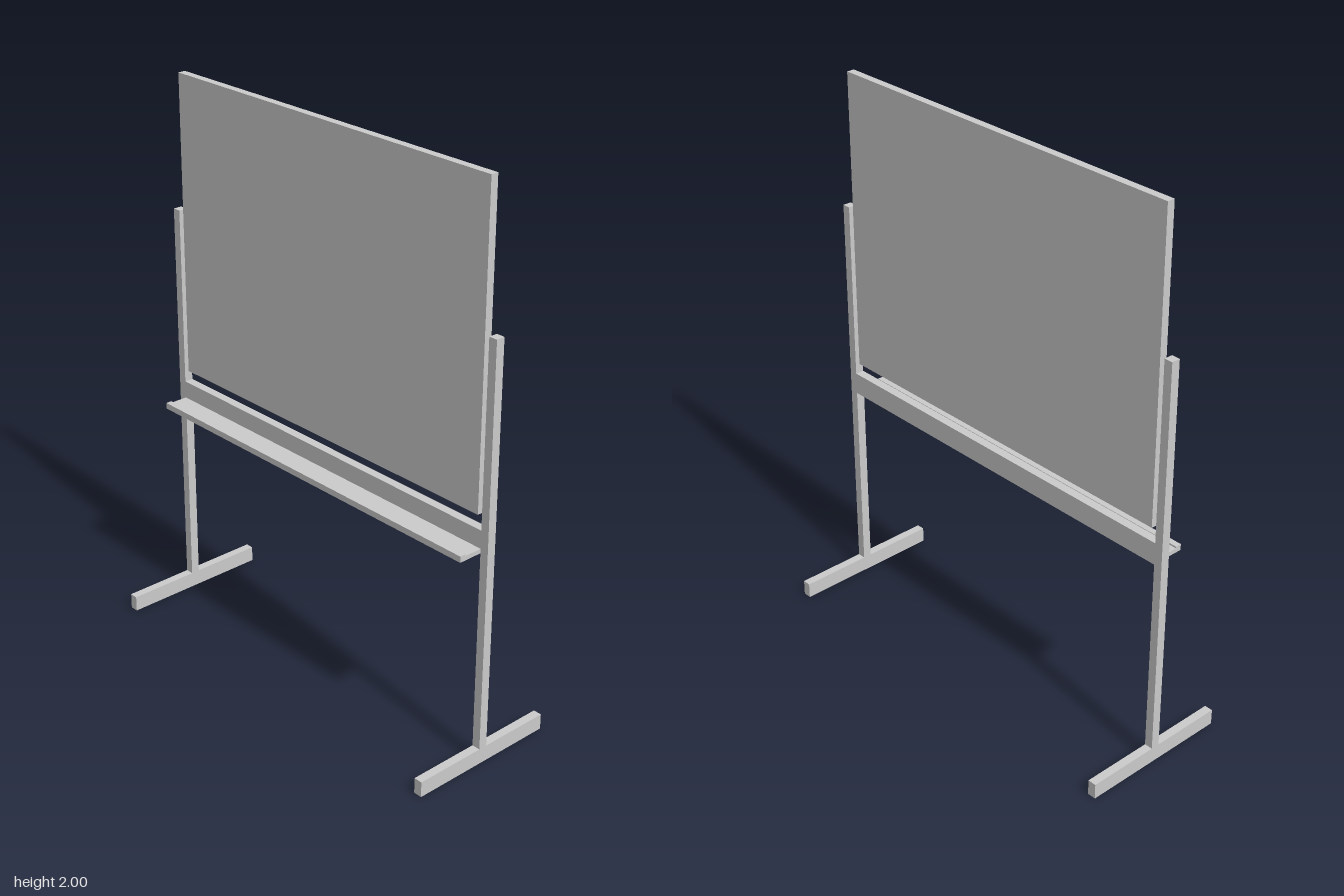
import * as THREE from 'three';

const material = new THREE.MeshStandardMaterial({ color: 0xcccccc, flatShading: true });

// Box given by its extents along each axis
function box(name, [x0, x1], [y0, y1], [z0, z1]) {
  const mesh = new THREE.Mesh(new THREE.BoxGeometry(x1 - x0, y1 - y0, z1 - z0), material);
  mesh.position.set((x0 + x1) / 2, (y0 + y1) / 2, (z0 + z1) / 2);
  mesh.name = name;
  return mesh;
}

// Shallow tray: a floor with a slightly raised lip, extruded along x
function tray(halfLength) {
  const back = 0.016, lip = 0.083, front = 0.105;
  const bottom = 0.778, floor = 0.794, top = 0.8;
  const profile = new THREE.Shape([
    [-back, bottom], [-back, floor], [-lip, floor],
    [-lip, top], [-front, top], [-front, bottom],
  ].map(([x, y]) => new THREE.Vector2(x, y)));
  const geometry = new THREE.ExtrudeGeometry(profile, { depth: halfLength * 2, bevelEnabled: false });
  geometry.translate(0, 0, -halfLength).rotateY(Math.PI / 2); // profile -x becomes +z
  const mesh = new THREE.Mesh(geometry, material);
  mesh.name = 'tray';
  return mesh;
}

export function createModel() {
  const model = new THREE.Group();
  model.name = 'whiteboardStand';

  // Writing panel, crossbar and pen tray
  model.add(
    box('board', [-0.72, 0.72], [0.905, 2], [-0.014, 0.014]),
    box('crossbar', [-0.739, 0.739], [0.778, 0.858], [-0.016, 0.016]),
    tray(0.739),
  );

  // Uprights standing on long feet
  for (const [side, x] of [['left', [0.739, 0.77]], ['right', [-0.77, -0.739]]]) {
    model.add(
      box(side + 'Post', x, [0.057, 1.508], [-0.016, 0.016]),
      box(side + 'Foot', x, [0, 0.057], [-0.28, 0.28]),
    );
  }
  return model;
}
